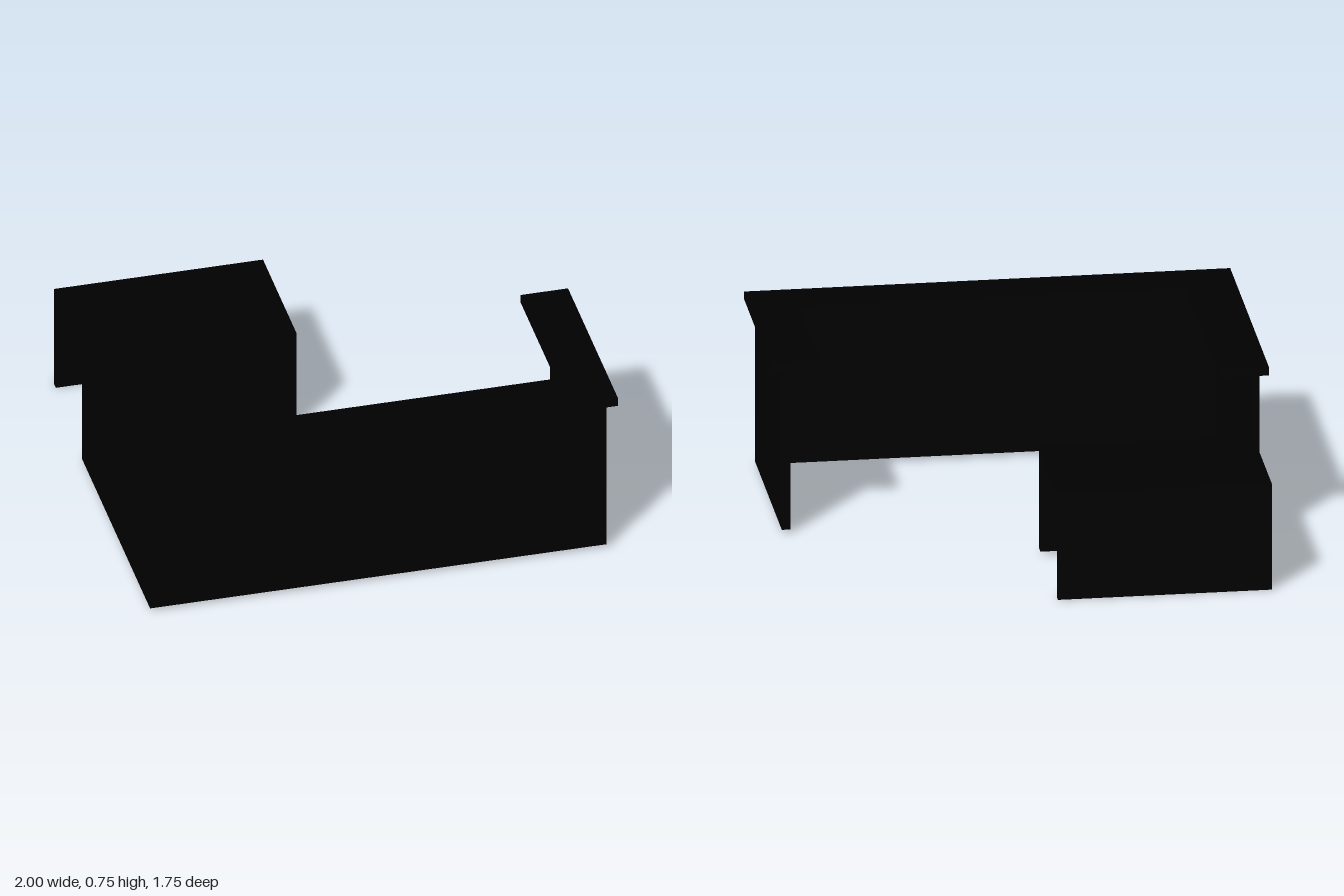
import * as THREE from 'three';

const material = new THREE.MeshStandardMaterial({ color: 0x000000 });

// Box given by its lower and upper corners
function block(name, [x0, y0, z0], [x1, y1, z1]) {
  const mesh = new THREE.Mesh(new THREE.BoxGeometry(x1 - x0, y1 - y0, z1 - z0), material);
  mesh.position.set((x0 + x1) / 2, (y0 + y1) / 2, (z0 + z1) / 2);
  mesh.name = name;
  return mesh;
}

// U-shaped counter: thin walls under a wide overhanging top
function createCounter() {
  const counter = new THREE.Group();
  counter.name = 'receptionCounter';
  const t = 0.035, y0 = 0.015, y1 = 0.71, front = 0.84;
  const longEnd = -0.29, shortEnd = 0.04;

  counter.add(
    block('frontWall', [-0.96, y0, front - t], [0.96, y1, front]),
    block('rightWall', [-0.96, y0, longEnd], [-0.96 + t, y1, front - t]),
    block('leftWall', [0.96 - t, y0, shortEnd], [0.96, y1, front - t])
  );

  // Top outline in x and z, extruded downwards from its upper surface
  const outline = [
    [-1, longEnd], [-0.8, longEnd], [-0.8, 0.67], [0.8, 0.67],
    [0.8, shortEnd], [1, shortEnd], [1, 0.875], [-1, 0.875]
  ].map(([x, z]) => new THREE.Vector2(x, z));
  const geometry = new THREE.ExtrudeGeometry(new THREE.Shape(outline), { depth: 0.035, bevelEnabled: false });
  geometry.rotateX(Math.PI / 2);
  const top = new THREE.Mesh(geometry, material);
  top.position.y = 0.745;
  top.name = 'counterTop';
  counter.add(top);
  return counter;
}

// Back desk: open at both ends, with a pedestal between its long panels
function createDesk() {
  const desk = new THREE.Group();
  desk.name = 'backDesk';
  const x0 = -0.93, x1 = -0.05, z0 = -0.88, z1 = -0.32, t = 0.035, under = 0.43;
  desk.add(
    block('deskTop', [x0, under, z0], [x1, 0.462, z1]),
    block('deskFrontPanel', [x0, 0.015, z1 - t], [x1, under, z1]),
    block('deskBackPanel', [x0, 0, z0], [x1, under, z0 + t]),
    block('deskPedestal', [-0.65, 0, z0 + t], [-0.39, under, z1 - t])
  );
  return desk;
}

export function createModel() {
  const model = new THREE.Group();
  model.name = 'receptionDesk';
  model.add(createCounter(), createDesk());
  return model;
}
